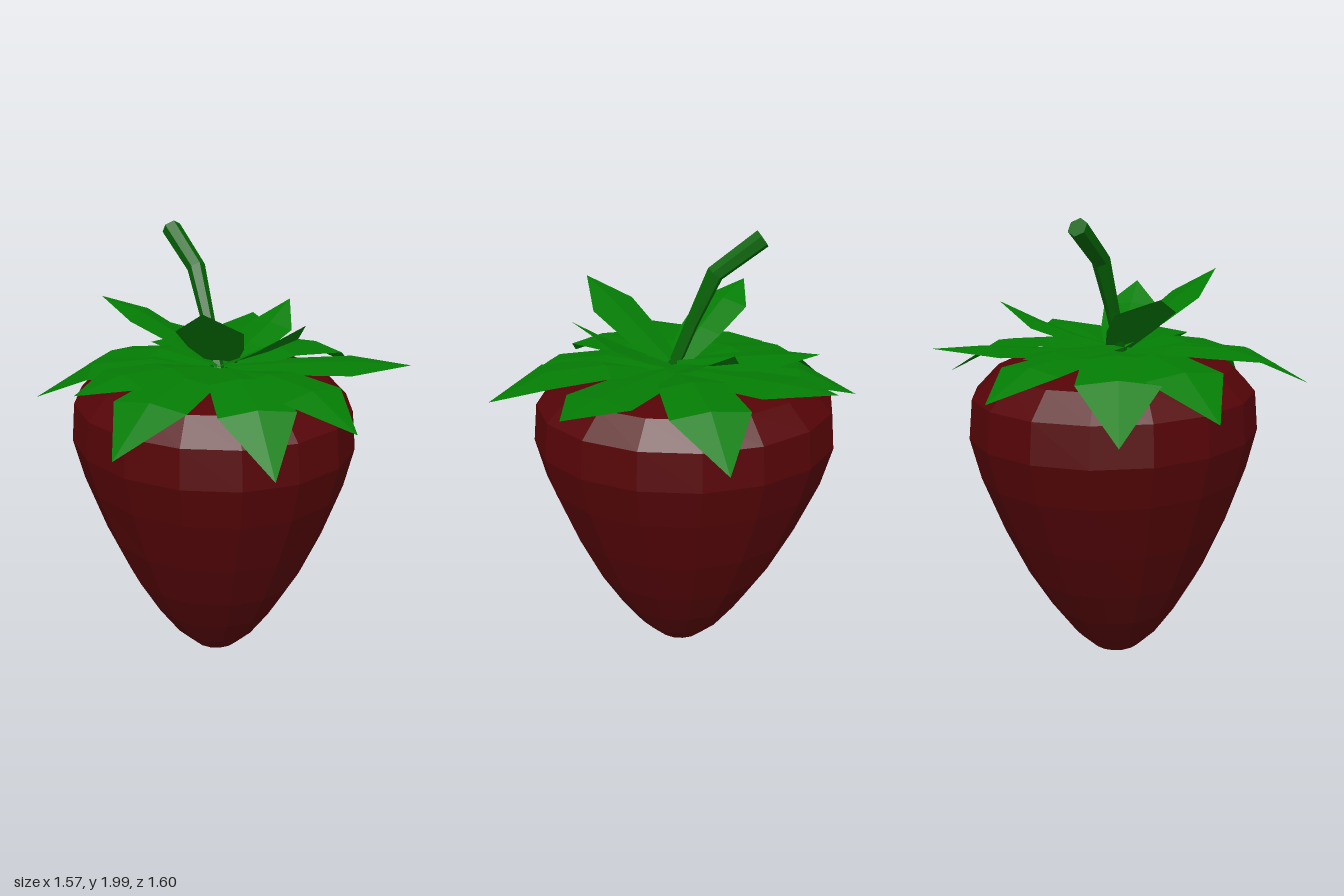
import * as THREE from 'three';

const mat = (color, side = THREE.FrontSide) =>
  new THREE.MeshStandardMaterial({ color, side, flatShading: true });

// Leaf: rows of left edge, raised midrib and right edge, from root to pointed tip
function leafGeometry(root, tip, halfWidth, arch) {
  const dir = tip.clone().sub(root);
  const side = new THREE.Vector3(-dir.z, 0, dir.x).normalize();
  const rows = [[0, 0.45, 0], [0.35, 0.85, 0.85], [0.68, 1, 1], [1, 0, 0]]; // along, width, arch
  const pos = [], index = [];
  rows.forEach(([t, w, a], r) => {
    for (const s of [-1, 0, 1]) {
      const p = root.clone().addScaledVector(dir, t).addScaledVector(side, s * w * halfWidth);
      p.y += a * arch + (s === 0 ? 0.012 : -0.008) * w;
      pos.push(p.x, p.y, p.z);
    }
    if (r === 0) return;
    for (let c = 0; c < 2; c++) {
      const a0 = (r - 1) * 3 + c, b0 = a0 + 3;
      index.push(a0, a0 + 1, b0, a0 + 1, b0 + 1, b0);
    }
  });
  const g = new THREE.BufferGeometry();
  g.setAttribute('position', new THREE.Float32BufferAttribute(pos, 3));
  g.setIndex(index);
  g.computeVertexNormals();
  return g;
}

// Stem: a cylinder whose rings are moved onto a bent centre line
function stemGeometry() {
  const path = [[-0.07, 1.38, 0.0], [-0.07, 1.6, -0.09], [-0.07, 1.82, -0.19], [-0.08, 1.965, -0.395]]
    .map(p => new THREE.Vector3(...p));
  const tilt = [-0.4, -0.42, -0.7, -0.95];
  const radius = [0.028, 0.03, 0.04, 0.043];
  const g = new THREE.CylinderGeometry(1, 1, 3, 6, 3);
  const pos = g.attributes.position, v = new THREE.Vector3();
  const xAxis = new THREE.Vector3(1, 0, 0);
  for (let i = 0; i < pos.count; i++) {
    const k = Math.round(pos.getY(i) + 1.5);
    v.set(pos.getX(i), 0, pos.getZ(i)).multiplyScalar(radius[k]);
    v.applyAxisAngle(xAxis, tilt[k]).add(path[k]);
    pos.setXYZ(i, v.x, v.y, v.z);
  }
  g.computeVertexNormals();
  return g;
}

export function createModel() {
  const group = new THREE.Group();

  // Fruit: tapering body, a little deeper than wide
  const profile = [
    [0, 0.005], [0.11, 0.03], [0.2, 0.12], [0.298, 0.26], [0.395, 0.43], [0.49, 0.65],
    [0.575, 0.9], [0.618, 1.08], [0.603, 1.25], [0.505, 1.355], [0.25, 1.37], [0, 1.372],
  ].map(([r, y]) => new THREE.Vector2(r, y));
  const fruitGeo = new THREE.LatheGeometry(profile, 16);
  const pos = fruitGeo.attributes.position;
  for (let i = 0; i < pos.count; i++) {
    const y = pos.getY(i);
    pos.setZ(i, pos.getZ(i) * (1.03 + 0.08 * Math.min(1, y / 0.9)) - 0.02 * Math.min(1, y));
  }
  const fruit = new THREE.Mesh(fruitGeo, mat(0x560407));
  fruit.name = 'fruit';
  fruit.position.set(-0.068, 0, -0.045);
  group.add(fruit);

  // Leaves: tip x, y, z, half width, arch
  const green = mat(0x047c04, THREE.DoubleSide);
  const addLeaves = (name, rootY, list) => {
    const crown = new THREE.Group();
    crown.name = name;
    list.forEach(([x, y, z, w, arch], i) => {
      const root = new THREE.Vector3(-0.045 + x * 0.03, rootY + (i % 2) * 0.012, -0.005 + z * 0.03);
      const leaf = new THREE.Mesh(leafGeometry(root, new THREE.Vector3(x, y, z), w, arch), green);
      leaf.name = 'leaf' + (i + 1);
      crown.add(leaf);
    });
    group.add(crown);
  };
  addLeaves('lowerLeaves', 1.395, [
    [0.78, 1.26, -0.14, 0.17, 0.11],
    [0.5, 1.465, -0.61, 0.16, 0],
    [0.1, 1.31, -0.8, 0.16, 0.07],
    [-0.47, 1.205, -0.77, 0.17, 0.12],
    [-0.74, 1.26, -0.47, 0.18, 0.1],
    [-0.77, 1.41, 0.04, 0.17, 0.04],
    [-0.79, 1.26, 0.42, 0.17, 0.1],
    [-0.3, 1.2, 0.79, 0.16, 0.12],
    [0.07, 1.32, 0.8, 0.16, 0.08],
    [0.6, 1.44, 0.49, 0.16, 0.01],
  ]);
  addLeaves('upperLeaves', 1.425, [
    [0.44, 1.62, -0.2, 0.12, -0.03],
    [0.02, 1.47, -0.65, 0.12, 0],
    [-0.44, 1.7, -0.38, 0.13, 0.02],
    [-0.355, 1.755, 0.355, 0.14, 0],
    [0.08, 1.67, 0.43, 0.13, -0.02],
  ]);

  const stem = new THREE.Mesh(stemGeometry(), mat(0x046404));
  stem.name = 'stem';
  group.add(stem);

  return group;
}
